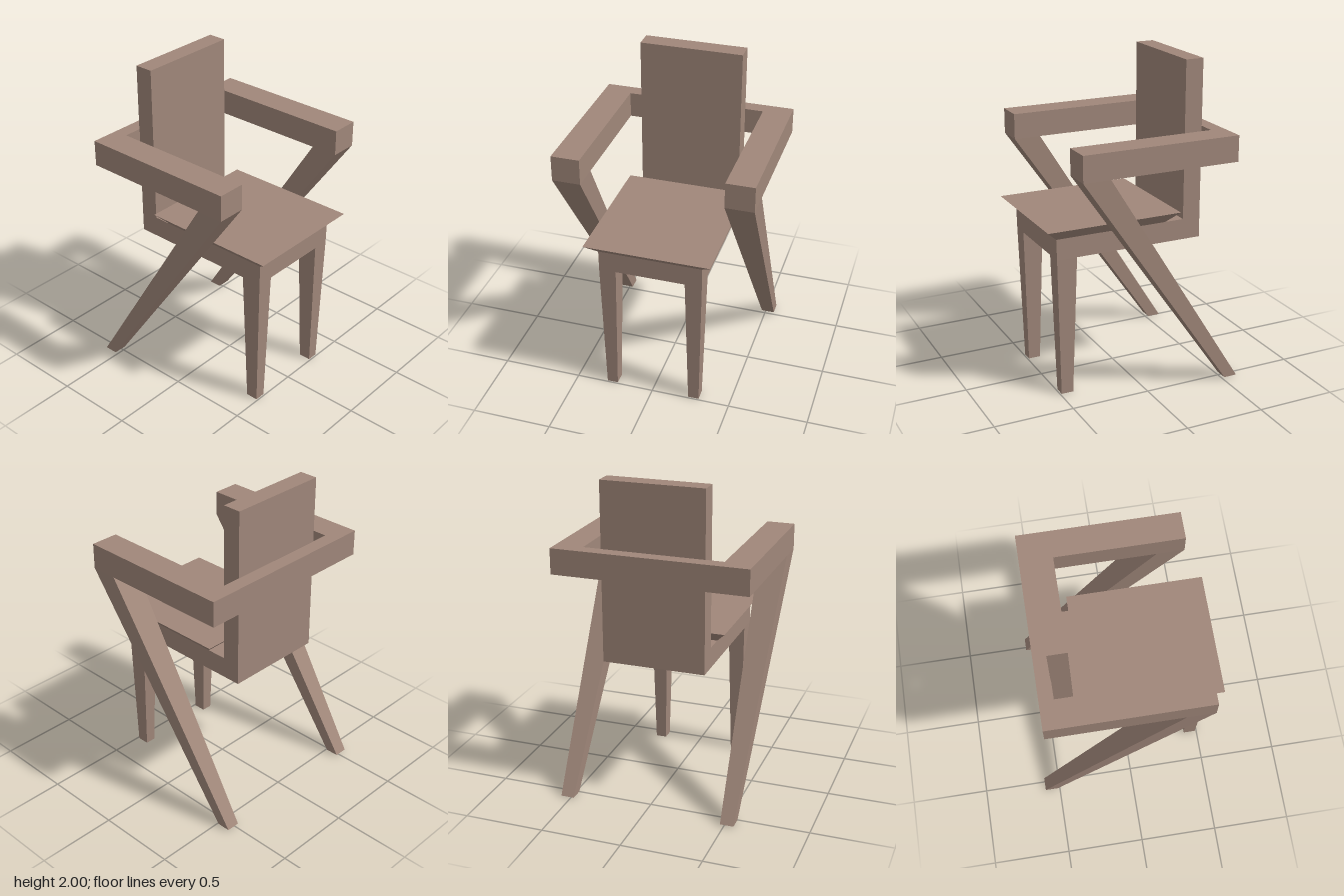
import * as THREE from 'three';

const material = new THREE.MeshStandardMaterial({ color: 0xa0877a, flatShading: true });

// Six-sided block between a bottom and a top rectangle, each [x0, x1, z0, z1]
function taperedBlock(y0, bottom, y1, top) {
  const g = new THREE.BoxGeometry(1, 1, 1);
  const p = g.attributes.position;
  for (let i = 0; i < p.count; i++) {
    const up = p.getY(i) > 0;
    const r = up ? top : bottom;
    p.setXYZ(i, p.getX(i) > 0 ? r[1] : r[0], up ? y1 : y0, p.getZ(i) > 0 ? r[3] : r[2]);
  }
  g.computeVertexNormals();
  return g;
}

function extrude(points, depth) {
  const shape = new THREE.Shape(points.map(([x, y]) => new THREE.Vector2(x, y)));
  return new THREE.ExtrudeGeometry(shape, { depth, bevelEnabled: false });
}

export function createModel() {
  const group = new THREE.Group();
  const add = (name, geometry) => {
    const mesh = new THREE.Mesh(geometry, material);
    mesh.name = name;
    group.add(mesh);
  };

  // Backrest and seat base in one L-shaped profile
  add('backAndSeatBase', extrude([
    [-0.44, 0.885], [0.513, 0.885], [0.516, 1.015], [-0.325, 1.015], [-0.325, 2], [-0.44, 2],
  ], 0.64).translate(0, 0, -0.32));

  // Seat top flaring out to a sharp rim
  add('seat', taperedBlock(1.015, [-0.2, 0.516, -0.32, 0.32], 1.085, [-0.273, 0.593, -0.387, 0.387]));

  // U-shaped armrest wrapping behind the backrest
  add('armrest', extrude([
    [-0.525, -0.607], [0.47, -0.607], [0.47, -0.432], [-0.438, -0.432],
    [-0.438, 0.432], [0.47, 0.432], [0.47, 0.607], [-0.525, 0.607],
  ], 0.16).rotateX(-Math.PI / 2).translate(0, 1.43, 0));

  for (const [side, s] of [['left', 1], ['right', -1]]) {
    const span = (a, b) => (s > 0 ? [a, b] : [-b, -a]);
    // Upright tapered leg under the seat's open edge
    add(side + 'SeatLeg', taperedBlock(
      0, [0.413, 0.49, ...span(0.235, 0.303)],
      0.885, [0.385, 0.513, ...span(0.215, 0.32)]));
    // Long slanted leg from the arm tip back to the floor
    add(side + 'SlantedLeg', taperedBlock(
      0.008, [-0.597, -0.513, ...span(0.476, 0.56)],
      1.43, [0.3, 0.47, ...span(0.432, 0.607)]));
  }
  return group;
}
